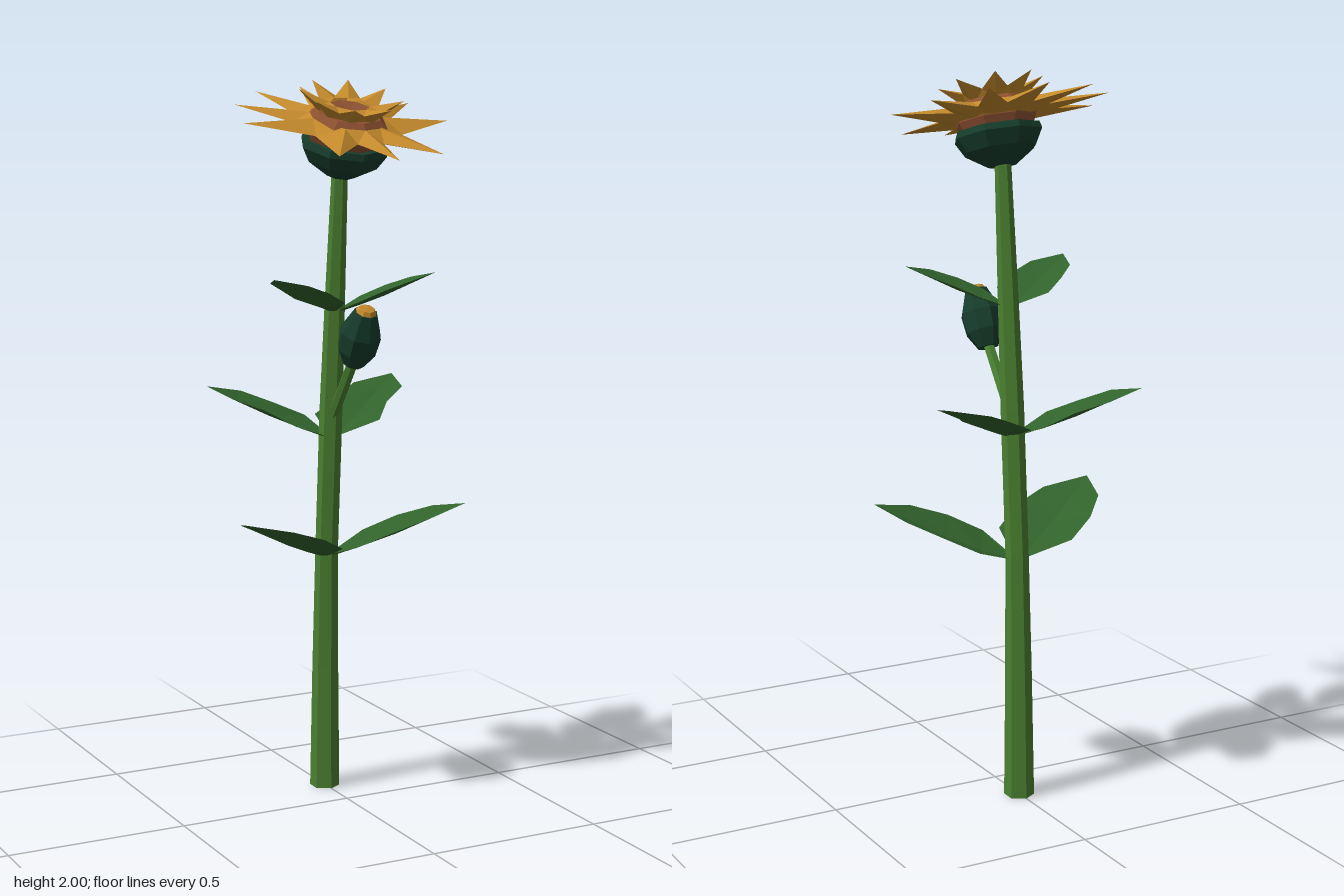
import * as THREE from 'three';

const mat = (color) => new THREE.MeshStandardMaterial({
  color, flatShading: true, roughness: 0.9, side: THREE.DoubleSide,
});
const STEM = mat(0x4a8030), LEAF = mat(0x32632c), SEPAL = mat(0x173d2c);
const PETAL = mat(0xc48a2c), DISC = mat(0x8c5030);
const rad = THREE.MathUtils.degToRad;

function mesh(name, geometry, material) {
  const m = new THREE.Mesh(geometry, material);
  m.name = name;
  return m;
}

const lathe = (points, sides) =>
  new THREE.LatheGeometry(points.map(([r, y]) => new THREE.Vector2(r, y)), sides);

function fromTriangles(triangles) {
  const geometry = new THREE.BufferGeometry().setFromPoints(triangles.flat());
  geometry.computeVertexNormals();
  return geometry;
}

// Stem: hexagonal rings [y, z, radius] leaning forward
const RINGS = [[0, -0.14, 0.042], [0.35, -0.135, 0.037], [0.7, -0.125, 0.032],
  [1.1, -0.097, 0.032], [1.4, -0.073, 0.028], [1.77, -0.042, 0.022]];

function stemGeometry() {
  const profile = [[0, 0], ...RINGS.map(([y, , r]) => [r, y]), [0, 1.77]];
  const geometry = lathe(profile, 6);
  const p = geometry.attributes.position;
  for (let i = 0; i < p.count; i++) {
    const ring = RINGS.find(([y]) => Math.abs(y - p.getY(i)) < 1e-4);
    p.setZ(i, p.getZ(i) + ring[1]);
  }
  geometry.computeVertexNormals();
  return geometry;
}

// Leaf along +x with a sunken midrib; rows are [along, half width, rib height, edge height]
function leafGeometry(length, waist) {
  const rows = [[0.03, 0.05, 0, 0.02], [0.25, 0.3, 0.075, 0.135], [0.5, waist, 0.17, 0.245],
    [0.76, 0.23, 0.29, 0.335], [1, 0, 0.4, 0.4]]
    .map(([s, w, rib, edge]) => [[s, edge, -w], [s, rib, 0], [s, edge, w]]
      .map((c) => new THREE.Vector3(...c).multiplyScalar(length)));
  const triangles = [];
  for (let i = 0; i < rows.length - 1; i++) {
    for (let j = 0; j < 2; j++) {
      const [a, b, c, d] = [rows[i][j], rows[i][j + 1], rows[i + 1][j + 1], rows[i + 1][j]];
      triangles.push([a, b, c]);
      if (i < rows.length - 2) triangles.push([a, c, d]);
      else triangles[triangles.length - 1] = [a, b, d];
    }
  }
  return fromTriangles(triangles);
}

// Ring of ridged pointed petals; angles are measured from the front
function petalGeometry(angles, { tip, valley, ridge, keel }) {
  const at = (deg, [r, y]) =>
    new THREE.Vector3(r * Math.sin(rad(deg)), y, r * Math.cos(rad(deg)));
  const triangles = [];
  const n = angles.length;
  angles.forEach((angle, i) => {
    const prev = angles[(i + n - 1) % n] - (i === 0 ? 360 : 0);
    const next = angles[(i + 1) % n] + (i === n - 1 ? 360 : 0);
    const t = at(angle, tip), top = at(angle, ridge), under = at(angle, keel);
    const l = at((prev + angle) / 2, valley), r = at((next + angle) / 2, valley);
    triangles.push([top, l, t], [top, t, r], [under, t, l], [under, r, t]);
    triangles.push([top, r, at(next, ridge)], [under, at(next, keel), r]);
  });
  return fromTriangles(triangles);
}

function flowerHead() {
  const head = new THREE.Group();
  head.name = 'flowerHead';
  head.position.set(0, 1.893, 0.003);
  head.rotation.x = rad(17.5);
  head.add(
    mesh('calyx', lathe([[0, -0.152], [0.04, -0.15], [0.1, -0.11], [0.123, -0.07],
      [0.118, -0.052], [0, -0.05]], 8), SEPAL),
    mesh('seedDisc', lathe([[0.1, -0.055], [0.113, -0.03], [0.113, 0.005], [0.09, 0.025],
      [0, 0.025]], 8), DISC),
    // one place in the outer ring is empty on each side of the front
    mesh('outerPetals', petalGeometry([0, 30, 90, 120, 150, 180, 210, 240, 270, 330],
      { tip: [0.307, 0], valley: [0.15, -0.012], ridge: [0.105, 0.012], keel: [0.1, -0.03] }), PETAL),
    mesh('innerPetals', petalGeometry([0, 1, 2, 3, 4, 5, 6, 7].map((k) => 22.5 + 45 * k),
      { tip: [0.142, 0.075], valley: [0.088, 0.045], ridge: [0.056, 0.05], keel: [0.075, 0.015] }), PETAL),
    mesh('centre', lathe([[0.06, 0.02], [0.058, 0.042], [0, 0.033]], 8), DISC),
  );
  return head;
}

function sideBud() {
  const group = new THREE.Group();
  group.name = 'sideBud';
  const path = new THREE.LineCurve3(
    new THREE.Vector3(0, 1.07, -0.095), new THREE.Vector3(0, 1.255, 0.04));
  group.add(mesh('budStalk', new THREE.TubeGeometry(path, 1, 0.016, 6), STEM));
  const bud = new THREE.Group();
  bud.name = 'bud';
  bud.position.set(0, 1.245, 0.037);
  bud.rotation.x = rad(27);
  bud.add(
    mesh('budSepals', lathe([[0, 0], [0.03, 0], [0.054, 0.045], [0.058, 0.1],
      [0.032, 0.165], [0, 0.165]], 8), SEPAL),
    mesh('budTip', lathe([[0.03, 0.164], [0.022, 0.176], [0, 0.178]], 8), PETAL),
  );
  group.add(bud);
  return group;
}

export function createModel() {
  const model = new THREE.Group();
  model.name = 'flower';
  model.add(mesh('stem', stemGeometry(), STEM), flowerHead(), sideBud());

  // Leaf pairs: height, depth, length, forward angle, mid width
  const pairs = [['lower', 0.677, -0.125, 0.39, 30, 0.31],
    ['middle', 1.02, -0.095, 0.35, -33, 0.23],
    ['upper', 1.373, -0.075, 0.277, 28, 0.29]];
  for (const [name, y, z, length, angle, waist] of pairs) {
    const geometry = leafGeometry(length, waist);
    for (const side of [1, -1]) {
      const holder = new THREE.Group();
      holder.name = `${name}${side > 0 ? 'Left' : 'Right'}Leaf`;
      holder.position.set(0, y, z);
      holder.scale.x = side;
      const leaf = mesh(`${name}LeafBlade`, geometry, LEAF);
      leaf.rotation.y = -rad(angle);
      holder.add(leaf);
      model.add(holder);
    }
  }
  return model;
}
